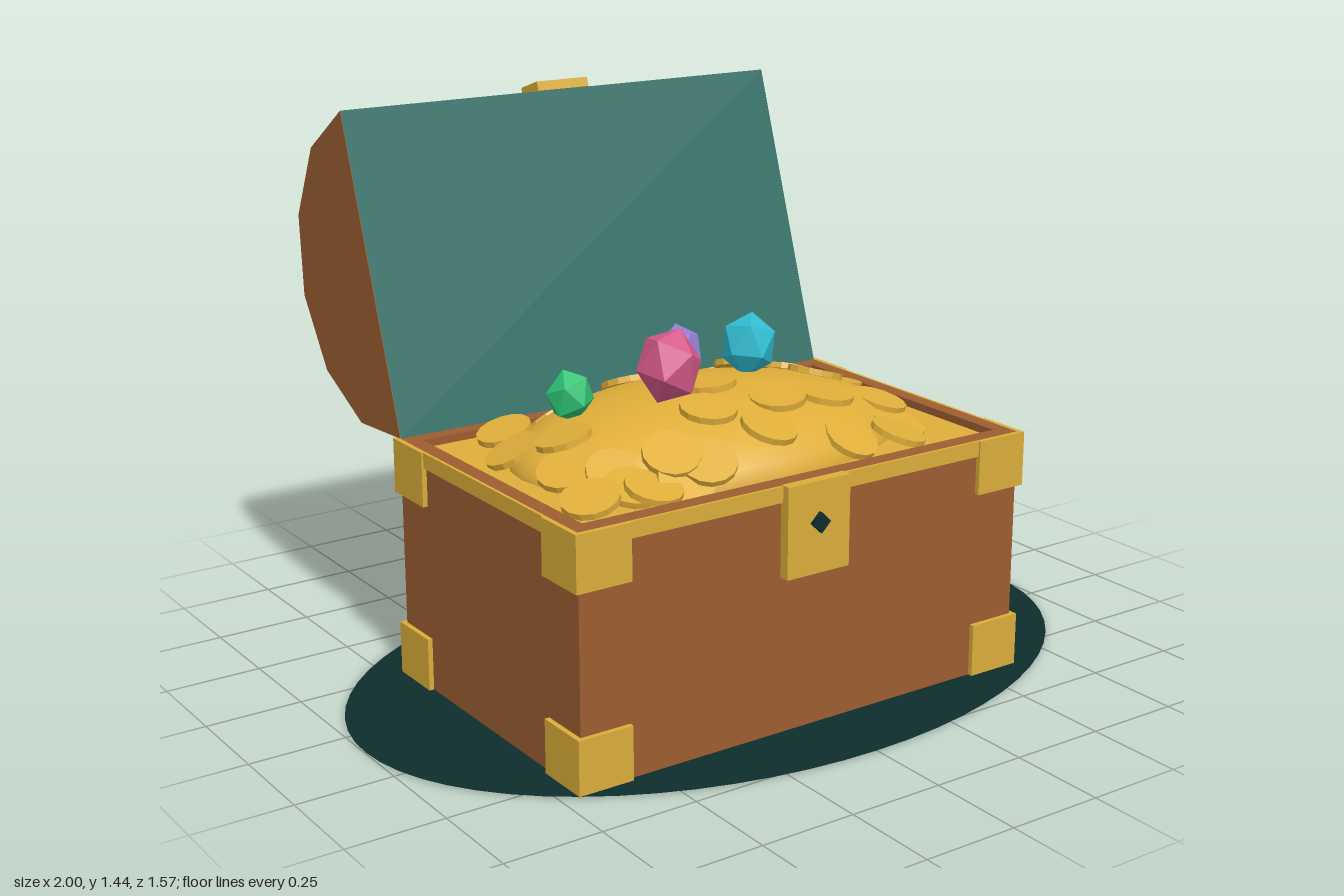
import * as THREE from 'three';

const material = (name, color, side = THREE.FrontSide) => {
  const m = new THREE.MeshStandardMaterial({ color, side });
  m.name = name;
  return m;
};

export function createModel() {
  const wood = material('wood', 0x9c5d31);
  const gold = material('gold trim', 0xdaad39);
  const coinGold = material('coin gold', 0xdfae3a);
  const teal = material('teal lining', 0x296c64, THREE.DoubleSide);
  const dark = material('dark base', 0x0f2d2d, THREE.DoubleSide);
  const pink = material('pink gem', 0xd65a8a);
  const cyan = material('cyan gem', 0x30bdd2);
  const violet = material('violet gem', 0x9480d6);
  const green = material('green gem', 0x2fc274);

  const model = new THREE.Group();
  model.name = 'treasureChest';

  const add = (parent, name, geometry, mat, x = 0, y = 0, z = 0) => {
    const mesh = new THREE.Mesh(geometry, mat);
    mesh.name = name;
    mesh.position.set(x, y, z);
    parent.add(mesh);
    return mesh;
  };
  const box = (parent, name, mat, w, h, d, x, y, z) =>
    add(parent, name, new THREE.BoxGeometry(w, h, d), mat, x, y, z);

  // Ground disc
  const disc = add(model, 'baseDisc', new THREE.CircleGeometry(1, 64).rotateX(-Math.PI / 2), dark, 0, 0.003, 0.105);
  disc.scale.z = 0.68;

  // Chest body, centred on its own x and z
  const W = 1.3, D = 0.83, H = 0.63;
  const chest = new THREE.Group();
  chest.name = 'chest';
  chest.position.set(-0.045, 0, 0.16);
  model.add(chest);
  box(chest, 'floor', wood, W - 0.02, 0.5, D - 0.02, 0, 0.25, 0);

  const rect = (path, w, d) => path.setFromPoints([[-1, -1], [1, -1], [1, 1], [-1, 1]]
    .map(([x, y]) => new THREE.Vector2(x * w / 2, y * d / 2)));
  const outline = rect(new THREE.Shape(), W, D);
  outline.holes.push(rect(new THREE.Path(), W - 0.08, D - 0.09));
  add(chest, 'walls', new THREE.ExtrudeGeometry(outline, { depth: H, bevelEnabled: false }).rotateX(-Math.PI / 2), wood);

  // Rim bands and corner plates
  for (const s of [-1, 1]) {
    box(chest, 'rimBand', gold, W + 0.016, 0.04, 0.008, 0, H - 0.02, s * (D / 2 + 0.004));
    box(chest, 'rimBand', gold, 0.008, 0.04, D, s * (W / 2 + 0.004), H - 0.02, 0);
    for (const t of [-1, 1]) {
      for (const y of [0.07, H - 0.07]) {
        box(chest, 'cornerPlate', gold, 0.147, 0.14, 0.013, s * (W / 2 - 0.0605), y, t * (D / 2 + 0.0065));
        box(chest, 'cornerPlate', gold, 0.013, 0.14, 0.134, s * (W / 2 + 0.0065), y, t * (D / 2 - 0.067));
      }
    }
  }

  // Lock
  box(chest, 'lockPlate', gold, 0.184, 0.23, 0.028, 0, 0.517, D / 2 + 0.014);
  add(chest, 'keyhole', new THREE.CylinderGeometry(0.026, 0.026, 0.012, 4).rotateX(Math.PI / 2), dark,
    0, 0.531, D / 2 + 0.034);

  // Open lid: half barrel with six slats
  const R = 0.4135;
  const lid = new THREE.Group();
  lid.name = 'lid';
  lid.position.set(-0.045, 1.022, -0.385);
  lid.rotation.x = -0.32;
  model.add(lid);
  const arc = [];
  for (let i = 0; i <= 6; i++) {
    const a = Math.PI / 2 + i * Math.PI / 6;
    arc.push(new THREE.Vector2(R * Math.cos(a), R * Math.sin(a)));
  }
  add(lid, 'lidShell', new THREE.ExtrudeGeometry(new THREE.Shape(arc), { depth: W, bevelEnabled: false })
    .rotateY(-Math.PI / 2), wood, W / 2);
  add(lid, 'lidLining', new THREE.PlaneGeometry(W, 2 * R), teal, 0, 0, 0.003);
  box(lid, 'lidClasp', gold, 0.155, 0.025, 0.085, 0, 0.427, -0.04);

  // Gold fill with a mound
  const hoard = new THREE.Group();
  hoard.name = 'hoard';
  model.add(hoard);
  box(hoard, 'goldFill', coinGold, W - 0.08, 0.13, D - 0.09, -0.045, 0.545, 0.16);
  const mx = -0.045, my = 0.6, mz = 0.145, rx = 0.54, ry = 0.165, rz = 0.355;
  const mound = add(hoard, 'goldMound', new THREE.SphereGeometry(1, 32, 10, 0, Math.PI * 2, 0, Math.PI / 2), coinGold, mx, my, mz);
  mound.scale.set(rx, ry, rz);

  // Coins lying on the mound: x, z
  let seed = 7;
  const jitter = (a) => {
    seed = (seed * 16807) % 2147483647;
    return (seed / 2147483647 * 2 - 1) * a;
  };
  const coinGeometry = new THREE.CylinderGeometry(0.071, 0.071, 0.016, 14).toNonIndexed();
  coinGeometry.computeVertexNormals();
  const coins = [
    [-0.47, -0.13], [-0.33, -0.15], [-0.1, -0.13], [0.16, -0.14], [0.34, -0.03], [0.49, -0.01],
    [0.3, 0.14], [-0.54, 0.03], [-0.48, 0.17], [-0.53, 0.26], [-0.45, 0.35], [-0.57, 0.43],
    [-0.41, 0.45], [-0.32, 0.39], [-0.32, 0.45], [-0.25, 0.44], [-0.05, 0.41], [0.05, 0.31],
    [0.17, 0.45], [0.33, 0.44], [0.38, 0.38], [0.4, 0.28], [-0.15, 0.3], [0.2, 0.31],
    [0.16, 0.01], [-0.06, 0.17], [-0.45, 0.42],
  ];
  const up = new THREE.Vector3(0, 1, 0);
  for (const [x, z] of coins) {
    const u = (x - mx) / rx, v = (z - mz) / rz;
    const h = Math.sqrt(Math.max(0, 1 - u * u - v * v));
    const coin = add(hoard, 'coin', coinGeometry, coinGold, x, Math.max(0.642, my + ry * h + 0.006), z);
    const slope = h > 0 ? ry / Math.max(h, 0.5) : 0.1;
    const normal = new THREE.Vector3(u / rx * slope * 0.8 + jitter(0.2), 1, v / rz * slope * 0.8 + jitter(0.2));
    coin.quaternion.setFromUnitVectors(up, normal.normalize());
  }

  // Gems: name, material, radius, position, turn
  const gems = [
    ['pinkGem', pink, 0.084, -0.2, 0.845, 0.205, 0.3],
    ['cyanGem', cyan, 0.074, 0.125, 0.822, 0.088, 0.9],
    ['violetGem', violet, 0.061, -0.027, 0.81, -0.003, 1.6],
    ['greenGem', green, 0.06, -0.395, 0.768, 0.065, 2.2],
  ];
  for (const [name, mat, r, x, y, z, turn] of gems) {
    const gem = add(hoard, name, new THREE.IcosahedronGeometry(r, 0), mat, x, y, z);
    gem.scale.y = 1.18;
    gem.rotation.set(0.15, turn, 0.12);
  }

  return model;
}
